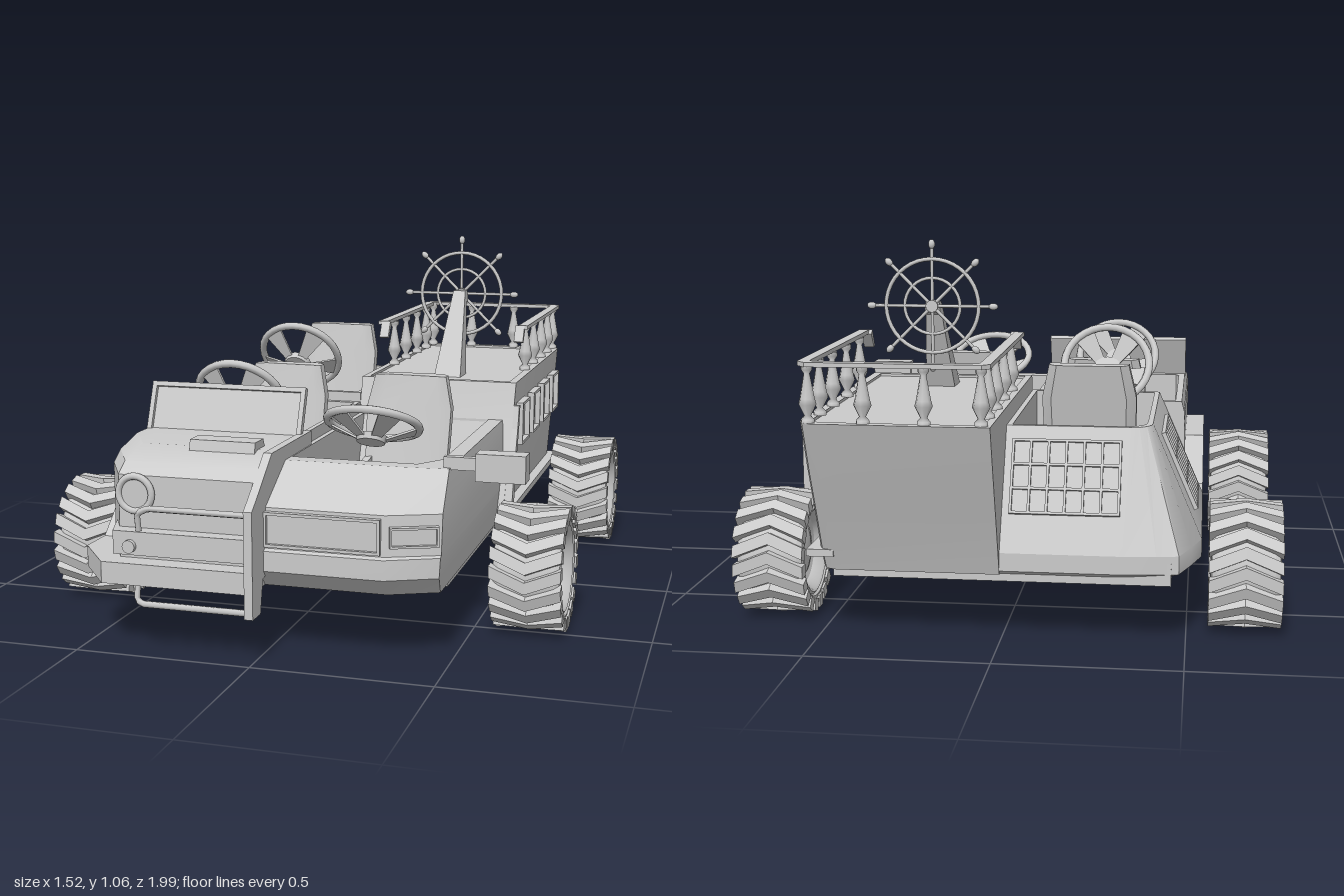
import * as THREE from 'three';
import { mergeGeometries, toCreasedNormals } from 'three/addons/utils/BufferGeometryUtils.js';

const mat = new THREE.MeshStandardMaterial({ color: 0xcccccc, side: THREE.DoubleSide });

function add(parent, name, geo, x = 0, y = 0, z = 0) {
  const m = new THREE.Mesh(geo, mat);
  m.name = name;
  m.position.set(x, y, z);
  parent.add(m);
  return m;
}
function group(parent, name, x = 0, y = 0, z = 0) {
  const g = new THREE.Group();
  g.name = name;
  g.position.set(x, y, z);
  parent.add(g);
  return g;
}
// box given by its limits
const span = (x0, x1, y0, y1, z0, z1) =>
  new THREE.BoxGeometry(x1 - x0, y1 - y0, z1 - z0).translate((x0 + x1) / 2, (y0 + y1) / 2, (z0 + z1) / 2);
const merge = list => mergeGeometries(list.map(g => (g.index ? g.toNonIndexed() : g)));
const extrude = (pts, depth) =>
  new THREE.ExtrudeGeometry(new THREE.Shape(pts.map(p => new THREE.Vector2(...p))), { depth, bevelEnabled: false });
// side profile of [z, y] points, extruded from x0 to x1
const prism = (pts, x0, x1) => extrude(pts, x1 - x0).rotateY(-Math.PI / 2).translate(x1, 0, 0);

// skin over plan outlines: levels = [y, [[x, z], ...]], closed at both ends
function loft(levels) {
  const o = levels[0][1], n = o.length;
  const area = o.reduce((a, p, i) => a + p[0] * o[(i + 1) % n][1] - o[(i + 1) % n][0] * p[1], 0);
  const rings = levels.map(([y, pts]) => {
    const r = pts.map(([x, z]) => [x, y, z]);
    return area > 0 ? r.reverse() : r;
  });
  const v = [], tri = (a, b, c) => v.push(...a, ...b, ...c);
  for (let i = 0; i + 1 < rings.length; i++) for (let j = 0; j < n; j++) {
    const k = (j + 1) % n, a = rings[i], b = rings[i + 1];
    tri(a[j], a[k], b[k]);
    tri(a[j], b[k], b[j]);
  }
  const lo = rings[0], hi = rings[rings.length - 1];
  for (let j = 1; j + 1 < n; j++) { tri(lo[0], lo[j + 1], lo[j]); tri(hi[0], hi[j], hi[j + 1]); }
  const g = new THREE.BufferGeometry();
  g.setAttribute('position', new THREE.Float32BufferAttribute(v, 3));
  return toCreasedNormals(g, 0.45);
}
// framed plate facing +z, divided into cols x rows
function panel(w, h, cols, rows, bar, t) {
  const parts = [new THREE.BoxGeometry(w, h, t * 0.5)];
  for (let i = 0; i <= cols; i++) parts.push(new THREE.BoxGeometry(bar, h, t).translate(-w / 2 + bar / 2 + i * (w - bar) / cols, 0, t / 2));
  for (let i = 0; i <= rows; i++) parts.push(new THREE.BoxGeometry(w, bar, t).translate(0, -h / 2 + bar / 2 + i * (h - bar) / rows, t / 2));
  return merge(parts);
}

// tyre with chevron lugs and a dished rim on both sides
function wheelGeometry() {
  const half = [[0.156, 0], [0.156, 0.078], [0.148, 0.092], [0.134, 0.095], [0.128, 0.089], [0.122, 0.093], [0.114, 0.088],
    [0.095, 0.062], [0.078, 0.056], [0.07, 0.062], [0.04, 0.07], [0, 0.074]];
  const prof = [...half.slice(1).reverse().map(([r, x]) => [r, -x]), ...half].map(p => new THREE.Vector2(...p));
  const parts = [toCreasedNormals(new THREE.LatheGeometry(prof, 36).rotateZ(-Math.PI / 2), 0.5)];
  const N = 20;
  for (let i = 0; i < N; i++) for (const s of [-1, 1]) {
    const lug = new THREE.BoxGeometry(0.1, 0.03, 0.034).translate(s * 0.05, 0.162, 0);
    const p = lug.attributes.position;
    for (let j = 0; j < p.count; j++) {
      const k = Math.abs(p.getX(j));
      p.setZ(j, p.getZ(j) + 0.018 - k * 0.4);
      if (k > 0.09) p.setY(j, p.getY(j) - (p.getY(j) > 0.16 ? 0.002 : 0.008));
    }
    const flat = lug.rotateX(i / N * Math.PI * 2).toNonIndexed();
    flat.computeVertexNormals();
    parts.push(flat);
  }
  return merge(parts);
}

// dished wheel with five spokes that widen to the rim
function steeringWheel(parent, x, y, z, tilt) {
  const g = group(parent, 'steeringWheel', x, y, z);
  g.rotation.x = -(Math.PI / 2 + tilt);
  add(g, 'steeringRim', new THREE.TorusGeometry(0.13, 0.012, 8, 32));
  for (let i = 0; i < 5; i++) {
    const s = extrude([[-0.014, 0.03], [0.014, 0.03], [0.034, 0.13], [-0.034, 0.13]], 0.006);
    add(g, 'steeringSpoke', s.rotateX(0.42).translate(0, 0.008, -0.06).rotateZ(i * Math.PI * 0.4));
  }
  add(g, 'steeringHub', new THREE.CylinderGeometry(0.045, 0.04, 0.02, 20).rotateX(Math.PI / 2), 0, 0, -0.045);
}

// seat with a bucket back that wraps forward at its edges
function seat(parent, x, y, z) {
  const g = group(parent, 'seat', x, y, z);
  const back = [[-0.132, 0.055], [-0.132, 0.02], [-0.105, -0.005], [0.105, -0.005], [0.132, 0.02], [0.132, 0.055], [0.09, 0.04], [-0.09, 0.04]];
  const lean = (h, k) => [h, back.map(([px, pz]) => [px * k, pz - h * 0.21])];
  add(g, 'seatBack', loft([lean(0, 0.95), lean(0.27, 1), lean(0.365, 0.84)]));
  add(g, 'seatPan', span(-0.11, 0.11, 0, 0.08, 0, 0.13));
  for (const d of [-1, 1])
    add(g, 'seatBolster', prism([[0, 0], [0.145, 0], [0.145, 0.1], [0, 0.12]], d * 0.12 - 0.011, d * 0.12 + 0.011));
}

export function createModel() {
  const root = new THREE.Group();
  root.name = 'fourPartCar';
  const wheelGeo = wheelGeometry();
  for (const x of [-0.66, 0.66]) for (const z of [0.45, -0.6]) add(root, 'wheel', wheelGeo, x, 0.18, z);
  add(root, 'underbody', span(-0.46, 0.46, 0.168, 0.23, -0.815, 0.68));

  // front left quarter: smooth car with an open cockpit
  const car = group(root, 'saloonQuarter');
  const carPlan = (w, f, c) => [[0, -0.04], [w, -0.04], [w, f - c], [0.34, f], [0, f]];
  const cockpit = [[0.015, -0.04], [0.425, -0.04], [0.425, 0.6], [0.425, 0.68], [0.015, 0.68]];
  add(car, 'saloonBody', loft([[0.19, carPlan(0.47, 0.87, 0.06)], [0.24, carPlan(0.475, 0.915, 0.065)], [0.295, carPlan(0.478, 0.915, 0.065)],
    [0.3, carPlan(0.478, 0.9, 0.06)], [0.41, carPlan(0.48, 0.895, 0.06)], [0.505, carPlan(0.47, 0.73, 0.01)], [0.505, cockpit], [0.3, cockpit]]));
  add(car, 'frontGrille', panel(0.32, 0.095, 1, 1, 0.008, 0.014), 0.17, 0.353, 0.898);
  add(car, 'headlight', panel(0.13, 0.055, 1, 1, 0.006, 0.014), 0.412, 0.353, 0.872).rotation.y = 0.4;
  add(car, 'mirrorArm', span(0.45, 0.55, 0.5, 0.535, 0.68, 0.705));
  add(car, 'mirror', span(0.54, 0.675, 0.475, 0.55, 0.66, 0.72));
  seat(car, 0.22, 0.3, 0.18);
  steeringWheel(car, 0.22, 0.59, 0.58, 0.49);

  // front right quarter: off-roader
  const jeep = group(root, 'offRoadQuarter');
  const jeepPlan = (w, f) => [[0, -0.05], [-w, -0.05], [-w, f - 0.14], [-w + 0.08, f], [0, f]];
  const tub = [[-0.015, -0.03], [-0.45, -0.03], [-0.45, 0.5], [-0.44, 0.52], [-0.015, 0.52]];
  add(jeep, 'offRoadBody', loft([[0.19, jeepPlan(0.48, 0.92)], [0.48, jeepPlan(0.48, 0.92)], [0.51, jeepPlan(0.478, 0.88)],
    [0.54, jeepPlan(0.47, 0.78)], [0.54, tub], [0.3, tub]]));
  add(jeep, 'bumper', loft([0.19, 0.25].map(y => [y, [[0, 0.7], [-0.54, 0.7], [-0.54, 0.84], [-0.43, 0.98], [0, 0.98]]])));
  add(jeep, 'bumperTop', loft([0.27, 0.335].map(y => [y, [[0, 0.85], [-0.44, 0.85], [-0.4, 0.965], [0, 0.965]]])));
  add(jeep, 'fender', prism([[-0.05, 0.19], [-0.05, 0.25], [0.08, 0.25], [0.18, 0.39], [0.57, 0.39], [0.73, 0.25], [0.85, 0.25],
    [0.72, 0.19], [0.68, 0.22], [0.55, 0.34], [0.22, 0.34], [0.11, 0.19]], -0.54, -0.46));
  add(jeep, 'centrePlate', prism([[0.5, 0.3], [0.5, 0.545], [0.84, 0.545], [0.965, 0.445], [1, 0.42], [1, 0.13], [0.94, 0.13], [0.92, 0.22]], -0.012, 0.012));
  add(jeep, 'hoodScoop', prism([[0.72, 0.53], [0.735, 0.562], [0.8, 0.562], [0.81, 0.515], [0.72, 0.515]], -0.24, -0.05));
  add(jeep, 'headlightRing', new THREE.TorusGeometry(0.048, 0.01, 8, 28), -0.35, 0.43, 0.925);
  add(jeep, 'headlightLens', new THREE.CylinderGeometry(0.044, 0.048, 0.03, 28).rotateX(Math.PI / 2), -0.35, 0.43, 0.912);
  add(jeep, 'fogLight', new THREE.CylinderGeometry(0.018, 0.018, 0.02, 16).rotateX(Math.PI / 2), -0.35, 0.295, 0.968);
  const bar = pts => {
    const path = new THREE.CurvePath();
    const v = pts.map(p => new THREE.Vector3(...p));
    for (let i = 1; i < v.length; i++) path.add(new THREE.LineCurve3(v[i - 1], v[i]));
    return new THREE.TubeGeometry(path, 24, 0.009, 6);
  };
  add(jeep, 'upperBullBar', bar([[-0.33, 0.33, 0.95], [-0.33, 0.385, 0.96], [-0.3, 0.4, 0.96], [0, 0.4, 0.96]]));
  add(jeep, 'lowerBullBar', bar([[-0.335, 0.2, 0.95], [-0.335, 0.15, 0.96], [-0.32, 0.138, 0.97], [0, 0.138, 0.97]]));
  const screen = add(jeep, 'windscreen', panel(0.475, 0.17, 1, 1, 0.014, 0.016), -0.235, 0.588, 0.535);
  screen.rotation.x = -0.38;
  seat(jeep, -0.22, 0.3, 0.052);
  steeringWheel(jeep, -0.24, 0.622, 0.405, 0.95);

  // rear right quarter: flared hull with slatted windows
  const buggy = group(root, 'flaredQuarter');
  const low = [[0, -0.83], [-0.33, -0.83], [-0.42, -0.82], [-0.48, -0.81], [-0.512, -0.715], [-0.54, -0.62], [-0.54, -0.05], [0, -0.05]];
  const sill = low.map(([x, z]) => [x * 0.94, z * 0.985]);
  const top = [[0, -0.67], [-0.34, -0.67], [-0.365, -0.665], [-0.385, -0.65], [-0.397, -0.63], [-0.4, -0.6], [-0.4, -0.05], [0, -0.05]];
  const well = top.map(([x, z]) => [Math.min(x + 0.015, -0.015), z < -0.1 ? z + 0.015 : z - 0.02]);
  add(buggy, 'flaredBody', loft([[0.19, sill], [0.2, low], [0.25, low], [0.57, top], [0.57, well], [0.36, well]]));
  const sideVent = add(buggy, 'sideVent', panel(0.31, 0.24, 6, 3, 0.007, 0.012), -0.469, 0.412, -0.345);
  sideVent.rotation.set(-0.412, -Math.PI / 2, 0, 'YXZ');
  const rearVent = add(buggy, 'rearVent', panel(0.3, 0.21, 6, 3, 0.007, 0.012), -0.17, 0.44, -0.735);
  rearVent.rotation.set(-0.464, Math.PI, 0, 'YXZ');
  seat(buggy, -0.22, 0.365, -0.54);
  steeringWheel(buggy, -0.24, 0.67, -0.16, 0.95);

  // rear left quarter: wooden ship stern with deck
  const ship = group(root, 'shipQuarter');
  const shipPlan = (w, b, f) => [[0, f], [w, f], [w, b + 0.04], [w - 0.012, b + 0.012], [w - 0.04, b], [0, b]];
  const deck = [[0.02, -0.1], [0.48, -0.1], [0.48, -0.92], [0.47, -0.945], [0.45, -0.955], [0.02, -0.955]];
  add(ship, 'shipHull', loft([[0.19, shipPlan(0.49, -0.83, 0.04)], [0.25, shipPlan(0.495, -0.85, 0.05)], [0.36, shipPlan(0.498, -0.89, 0.015)],
    [0.48, shipPlan(0.502, -0.935, -0.035)], [0.62, shipPlan(0.505, -0.985, -0.075)], [0.62, deck], [0.612, deck]]));
  add(ship, 'hullLedge', span(0.45, 0.525, 0.23, 0.25, -0.85, 0.05));
  add(ship, 'hullFrontTrim', prism([[0.05, 0.24], [0.015, 0.36], [-0.035, 0.48], [-0.055, 0.55], [-0.075, 0.55], [-0.06, 0.48], [-0.015, 0.36], [0.01, 0.24]], 0.48, 0.52));
  for (const z of [-0.168, -0.378, -0.583, -0.788])
    add(ship, 'cabinWindow', panel(0.135, 0.135, 1, 1, 0.009, 0.022), 0.503, 0.485, z).rotation.y = Math.PI / 2;

  // railing on three sides, rounded at the stern, its front ends bent down
  const rail = [[0, -0.27], [0, -0.965], [0.02, -0.985], [0.48, -0.985], [0.505, -0.96], [0.505, -0.27],
    [0.475, -0.27], [0.475, -0.945], [0.465, -0.955], [0.04, -0.955], [0.03, -0.945], [0.03, -0.27]];
  add(ship, 'handRail', extrude(rail, 0.012).rotateX(Math.PI / 2), 0, 0.78);
  const spindle = new THREE.LatheGeometry([[0.018, 0], [0.018, 0.01], [0.009, 0.02], [0.024, 0.05], [0.02, 0.065], [0.008, 0.13], [0.015, 0.14], [0.015, 0.152]]
    .map(p => new THREE.Vector2(...p)), 8);
  for (const x of [0.026, 0.48]) {
    add(ship, 'railEnd', prism([[-0.27, 0.78], [-0.24, 0.73], [-0.253, 0.725], [-0.285, 0.768]], x - 0.015, x + 0.015));
    for (const z of [-0.38, -0.54, -0.7, -0.84, -0.96]) add(ship, 'baluster', spindle, x, 0.618, z);
  }
  for (const x of [0.175, 0.335]) add(ship, 'baluster', spindle, x, 0.618, -0.96);

  // helm on its leaning post
  const post = prism([[-0.19, 0.61], [-0.28, 0.61], [-0.375, 0.84], [-0.4, 0.85], [-0.4, 0.88], [-0.365, 0.88]], -0.04, 0.04);
  const pp = post.attributes.position;
  for (let i = 0; i < pp.count; i++) pp.setX(i, pp.getX(i) * (1.1 - 2.2 * (pp.getY(i) - 0.61)));
  post.computeVertexNormals();
  add(ship, 'helmPost', post, 0.255);
  const helm = group(ship, 'helm', 0.255, 0.868, -0.4);
  add(helm, 'helmRim', new THREE.TorusGeometry(0.137, 0.006, 8, 40));
  add(helm, 'helmInnerRing', new THREE.TorusGeometry(0.082, 0.005, 8, 32));
  add(helm, 'helmHub', new THREE.CylinderGeometry(0.018, 0.018, 0.022, 16).rotateX(Math.PI / 2));
  for (let i = 0; i < 8; i++) {
    const a = i * Math.PI / 4;
    add(helm, 'helmSpoke', new THREE.CylinderGeometry(0.005, 0.005, 0.17, 8).translate(0, 0.09, 0).rotateZ(a));
    add(helm, 'helmHandle', new THREE.SphereGeometry(0.01, 10, 8).scale(1, 1.4, 1).translate(0, 0.18, 0).rotateZ(a));
  }
  return root;
}
